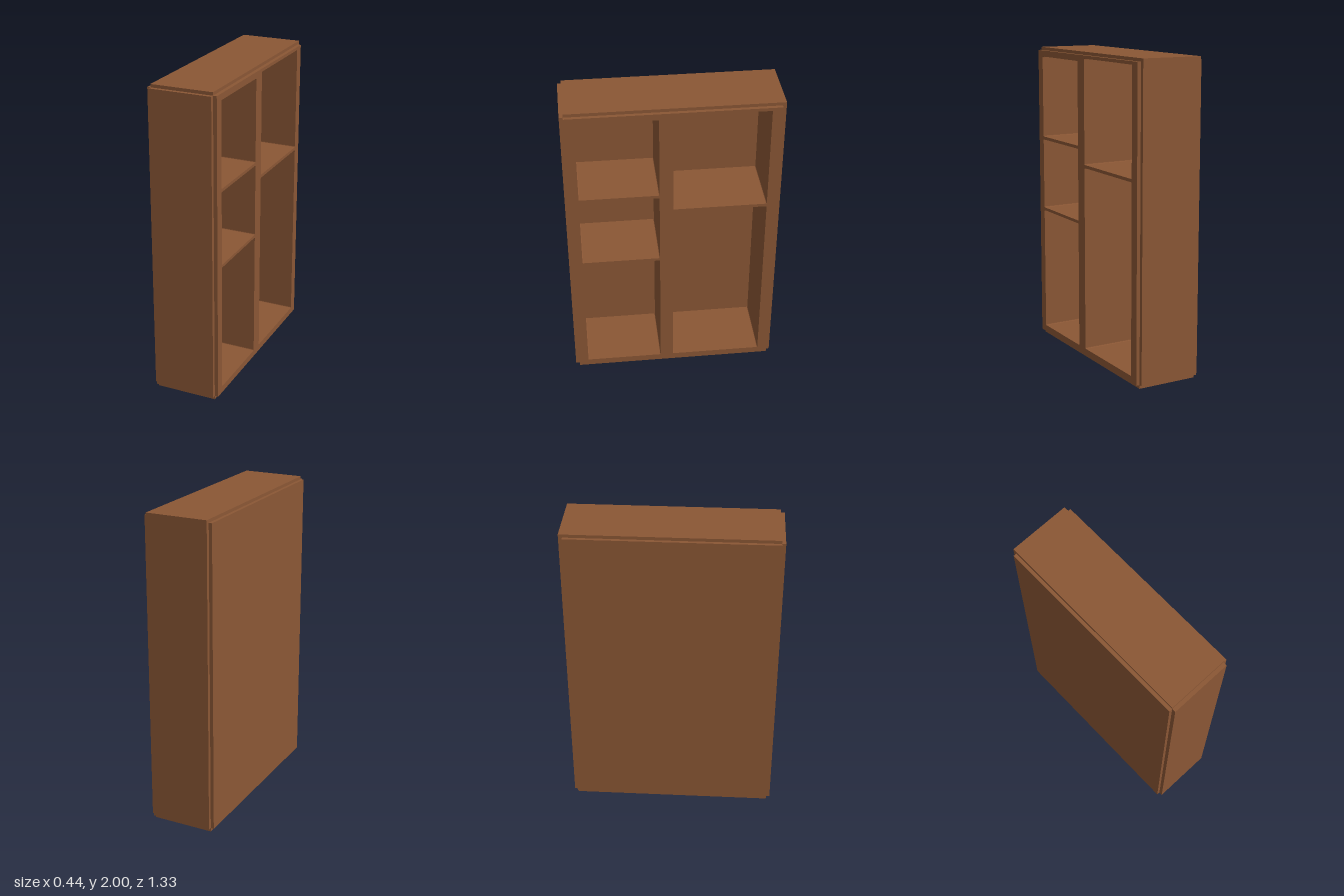
import * as THREE from 'three';

// Closed rectangular outline with slightly rounded corners
function roundedRect(path, x0, x1, y0, y1, r) {
  path.moveTo(x0 + r, y0);
  path.lineTo(x1 - r, y0);
  path.quadraticCurveTo(x1, y0, x1, y0 + r);
  path.lineTo(x1, y1 - r);
  path.quadraticCurveTo(x1, y1, x1 - r, y1);
  path.lineTo(x0 + r, y1);
  path.quadraticCurveTo(x0, y1, x0, y1 - r);
  path.lineTo(x0, y0 + r);
  path.quadraticCurveTo(x0, y0, x0 + r, y0);
  return path;
}

export function createModel() {
  const group = new THREE.Group();
  const wood = new THREE.MeshStandardMaterial({ color: 0x8b5735 });
  wood.name = 'brownWood';

  function add(name, geometry) {
    const mesh = new THREE.Mesh(geometry, wood);
    mesh.name = name;
    group.add(mesh);
    return mesh;
  }

  // Board given by its limits on each axis
  function board(name, [x0, x1], [y0, y1], [z0, z1]) {
    add(name, new THREE.BoxGeometry(x1 - x0, y1 - y0, z1 - z0))
      .position.set((x0 + x1) / 2, (y0 + y1) / 2, (z0 + z1) / 2);
  }

  const inner = 0.643, outer = 0.667;   // depth limits of carcass and end boards
  const low = 0.024, high = 1.98;       // height limits of the carcass
  const back = -0.2, rim = 0.197, face = 0.22;

  // Carcass with shelf compartments opening to +x; shape x runs along -z
  const frame = new THREE.Shape();
  frame.moveTo(-inner, low);
  frame.lineTo(inner, low);
  frame.lineTo(inner, high);
  frame.lineTo(-inner, high);
  frame.closePath();

  const compartments = [
    [-0.582, -0.088, 0.067, 0.893],
    [-0.582, -0.088, 0.912, 1.382],
    [-0.582, -0.088, 1.402, 1.94],
    [-0.003, 0.581, 0.067, 1.27],
    [-0.003, 0.581, 1.29, 1.96],
  ];
  for (const [a, b, c, d] of compartments) {
    frame.holes.push(roundedRect(new THREE.Path(), a, b, c, d, 0.006));
  }
  const carcass = new THREE.ExtrudeGeometry(frame, {
    depth: face - back, bevelEnabled: false, curveSegments: 3,
  });
  carcass.rotateY(Math.PI / 2);
  carcass.translate(back, 0, 0);
  add('shelfCarcass', carcass);

  // Outer boards, with small steps at the corners
  board('rearPanel', [-0.221, back], [low, high], [-inner, inner]);
  board('topBoard', [back, rim], [high, 2], [-inner, inner]);
  board('bottomBoard', [back, rim], [0, low], [-inner, inner]);
  board('frontEndBoard', [back, rim], [low, high], [inner, outer]);
  board('backEndBoard', [back, rim], [low, 2], [-outer, -inner]);

  return group;
}
